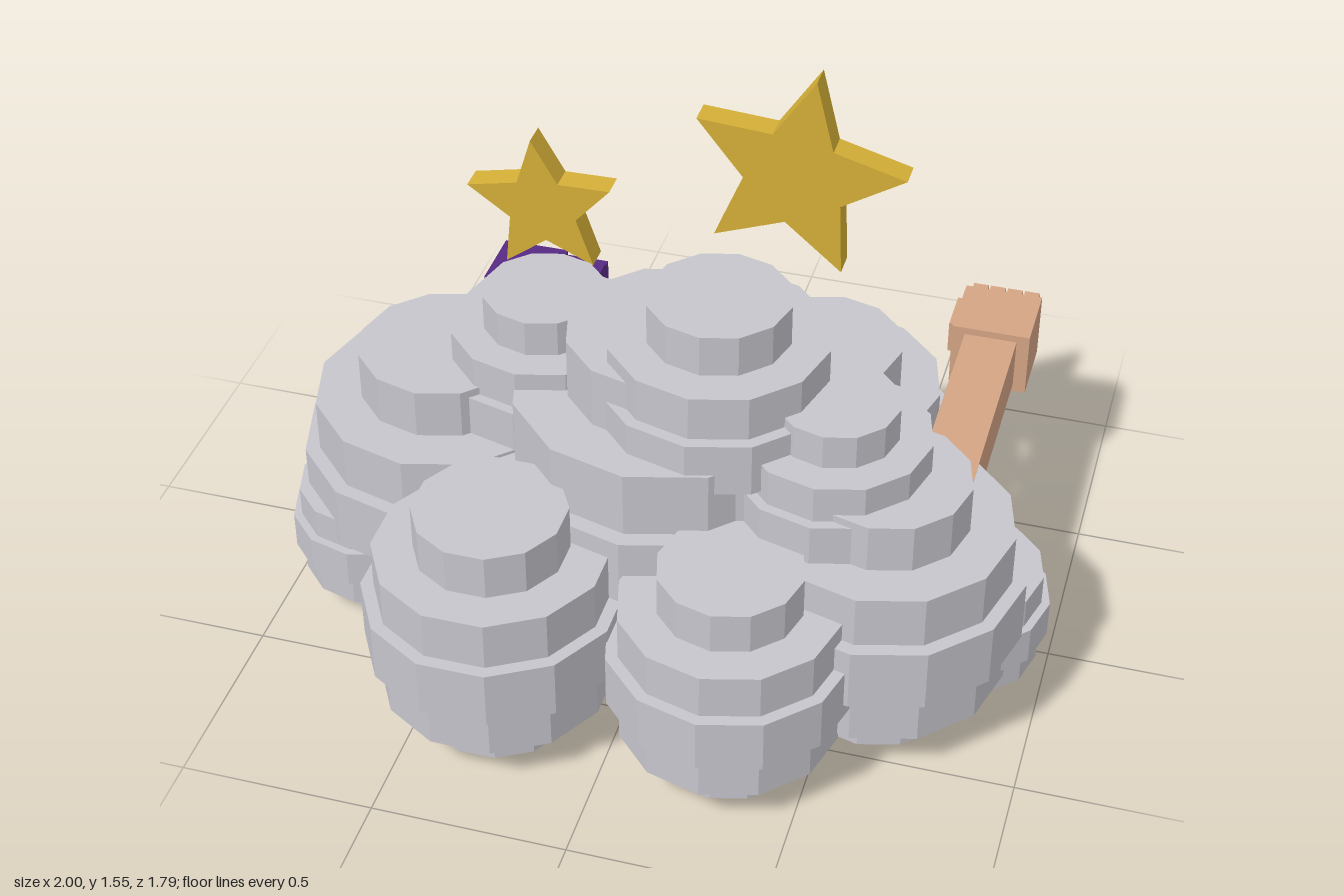
import * as THREE from 'three';

const mat = (name, color) => {
  const m = new THREE.MeshStandardMaterial({ color });
  m.name = name;
  return m;
};

export function createModel() {
  const model = new THREE.Group();
  model.name = 'dustCloud';
  const smoke = mat('smokeGrey', 0xc6c5cd);
  const gold = mat('starGold', 0xd4af37);
  const skin = mat('skin', 0xd4a484);
  const purple = mat('bootPurple', 0x562a82);
  const dark = mat('soleDark', 0x2a2040);

  const add = (parent, name, geometry, material, x, y, z) => {
    const mesh = new THREE.Mesh(geometry, material);
    mesh.name = name;
    mesh.position.set(x, y, z);
    parent.add(mesh);
    return mesh;
  };

  // Box given by its minimum and maximum corners
  const box = (parent, name, material, [x0, y0, z0], [x1, y1, z1]) =>
    add(parent, name, new THREE.BoxGeometry(x1 - x0, y1 - y0, z1 - z0), material,
      (x0 + x1) / 2, (y0 + y1) / 2, (z0 + z1) / 2);

  // Each puff is a stack of five faceted drums approximating a ball
  const levels = [0, 0.183, 0.38, 0.62, 0.817, 1];
  const widths = [0.585, 0.9, 1, 0.9, 0.585];
  const puff = (name, x, y, z, radius, height, turn = 0) => {
    const group = new THREE.Group();
    group.name = name;
    group.position.set(x, y, z);
    group.rotation.y = turn;
    widths.forEach((w, i) => {
      const h = (levels[i + 1] - levels[i]) * height;
      const geo = new THREE.CylinderGeometry(radius * w, radius * w, h, 12).toNonIndexed();
      geo.computeVertexNormals();
      add(group, name + 'Layer' + (i + 1), geo, smoke, 0, levels[i] * height + h / 2, 0);
    });
    model.add(group);
  };
  const half = Math.PI / 12;

  // Lower ring of puffs
  puff('frontRightPuff', -0.315, 0, 0.57, 0.33, 0.655, half);
  puff('frontLeftPuff', 0.285, 0, 0.56, 0.31, 0.6);
  puff('rightPuff', -0.61, 0, 0.065, 0.38, 0.73);
  puff('leftPuff', 0.593, 0, 0.25, 0.36, 0.71);
  puff('backLeftPuff', 0.31, 0, -0.325, 0.34, 0.65);
  puff('backRightPuff', -0.285, 0, -0.295, 0.315, 0.6);
  puff('smallRightPuff', -0.78, 0, 0.19, 0.22, 0.42);
  puff('smallLeftPuff', 0.78, 0, 0.1, 0.22, 0.42);
  // Core and upper puffs
  puff('corePuff', 0, 0.03, 0.105, 0.44, 0.9);
  puff('topPuff', 0.14, 0.48, 0.145, 0.31, 0.6);
  puff('upperRightPuff', -0.355, 0.38, 0.005, 0.27, 0.53);
  puff('upperLeftPuff', 0.455, 0.38, 0.21, 0.265, 0.5);

  // Five-pointed stars
  const star = (name, x, y, z, radius, tilt) => {
    const shape = new THREE.Shape();
    for (let i = 0; i < 10; i++) {
      const a = Math.PI / 2 + i * Math.PI / 5;
      const r = i % 2 ? radius * 0.465 : radius;
      shape[i ? 'lineTo' : 'moveTo'](r * Math.cos(a), r * Math.sin(a));
    }
    shape.closePath();
    const geo = new THREE.ExtrudeGeometry(shape, { depth: 0.067, bevelEnabled: false });
    add(model, name, geo, gold, x, y, z).rotation.z = tilt;
  };
  star('largeStar', 0.258, 1.275, -0.174, 0.28, -0.17);
  star('smallStar', -0.43, 1.0, -0.273, 0.203, 0.115);

  // Arm with fist, reaching backwards
  const arm = new THREE.Group();
  arm.name = 'arm';
  model.add(arm);
  box(arm, 'forearm', skin, [0.636, 0.442, -0.54], [0.776, 0.582, 0.2]);
  box(arm, 'fist', skin, [0.602, 0.42, -0.735], [0.81, 0.602, -0.54]);
  box(arm, 'thumb', skin, [0.58, 0.46, -0.745], [0.602, 0.55, -0.62]);
  for (let i = 0; i < 4; i++) {
    const x = 0.617 + i * 0.047;
    box(arm, 'finger' + (i + 1), skin, [x, 0.44, -0.772], [x + 0.041, 0.588, -0.735]);
  }

  // Boot sticking out at the back
  const boot = new THREE.Group();
  boot.name = 'boot';
  model.add(boot);
  box(boot, 'shin', purple, [-0.656, 0.28, -0.545], [-0.476, 0.64, -0.365]);
  box(boot, 'foot', purple, [-0.666, 0.28, -0.83], [-0.461, 0.41, -0.535]);
  box(boot, 'toe', purple, [-0.658, 0.28, -0.89], [-0.472, 0.375, -0.83]);
  box(boot, 'sole', dark, [-0.676, 0.25, -0.897], [-0.453, 0.28, -0.52]);

  return model;
}
